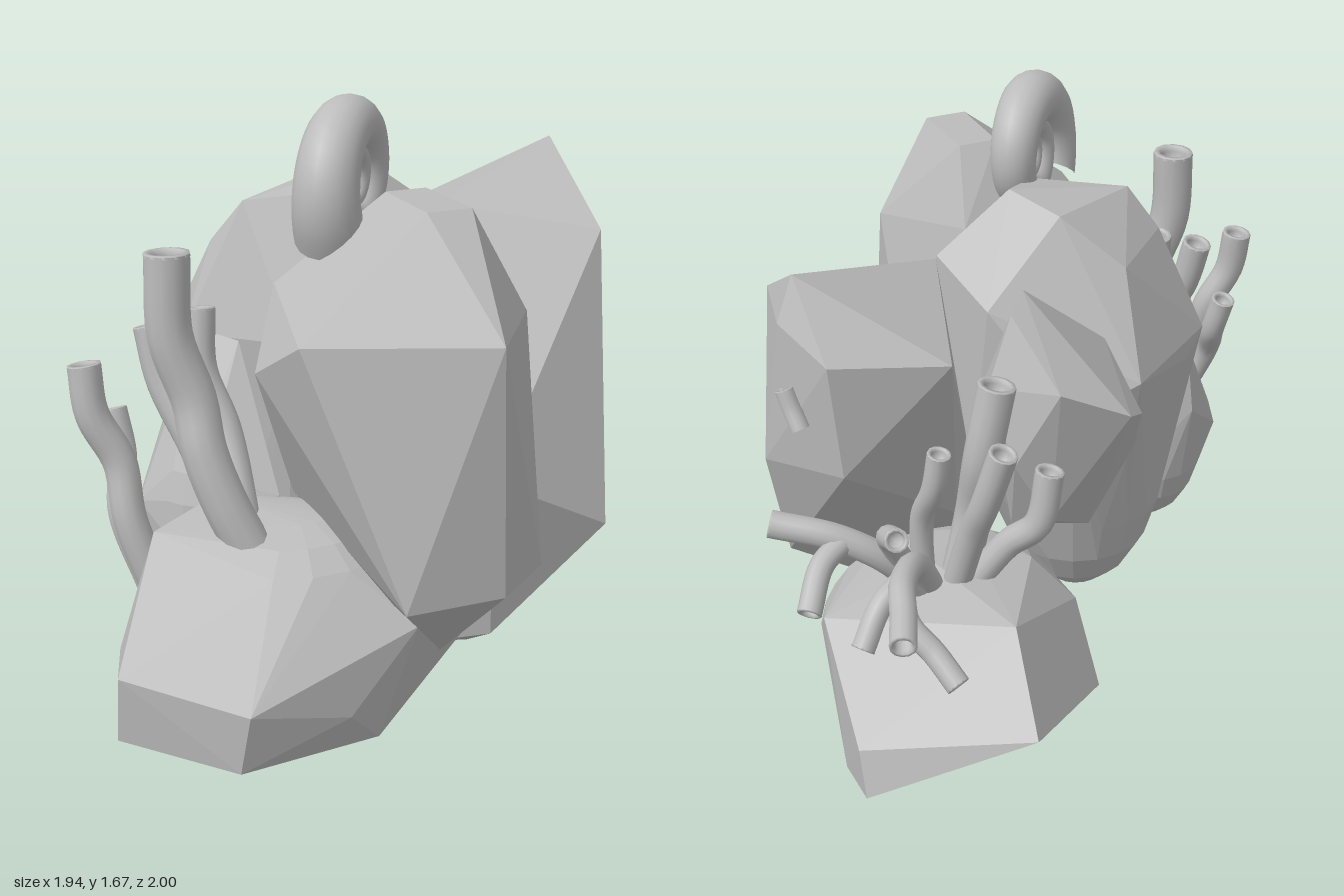
import * as THREE from 'three';
import { ConvexGeometry } from 'three/addons/geometries/ConvexGeometry.js';

const stone = new THREE.MeshStandardMaterial({ color: 0xbcbcbc });
stone.name = 'stone grey';
const V = (p) => new THREE.Vector3(...p);

// Faceted boulder: hull of corner points and an ellipsoid that rounds its buried end
function rock(name, corners, round) {
  const pts = corners.map(V);
  if (round) {
    const [cx, cy, cz, rx, ry, rz] = round;
    for (let i = 0; i <= 10; i++) {
      const t = (i / 10 - 0.5) * Math.PI;
      for (let j = 0; j < 18; j++) {
        const a = (j / 18) * Math.PI * 2;
        pts.push(V([cx + rx * Math.cos(t) * Math.cos(a), cy + ry * Math.sin(t), cz + rz * Math.cos(t) * Math.sin(a)]));
        if (i % 10 === 0) break;
      }
    }
  }
  const mesh = new THREE.Mesh(new ConvexGeometry(pts), stone);
  mesh.name = name;
  return mesh;
}

// Curved coral stem with a hollow cup at its tip
function stem(name, r, path) {
  const g = new THREE.Group();
  g.name = name;
  const curve = new THREE.CatmullRomCurve3(path.map(V));
  g.add(new THREE.Mesh(new THREE.TubeGeometry(curve, 24, r, 12), stone));
  const profile = [[1, -0.1], [0.98, 0.06], [0.74, 0.06], [0.66, -0.2], [0.6, -1], [0, -1]];
  const cup = new THREE.Mesh(
    new THREE.LatheGeometry(profile.map(([x, y]) => new THREE.Vector2(x * r, y * r)), 12), stone);
  cup.position.copy(curve.getPoint(1));
  cup.quaternion.setFromUnitVectors(new THREE.Vector3(0, 1, 0), curve.getTangent(1));
  g.add(cup);
  return g;
}

// Flat spiral shell: circular sections that shrink along a logarithmic spiral
function spiralShell() {
  const u = V([1, 0, -1]).normalize(), up = V([0, 1, 0]), n = V([1, 0, 1]).normalize();
  const rows = 180, cols = 18, turns = 4.6, pos = [], index = [];
  for (let i = 0; i <= rows; i++) {
    const t = (i / rows) * turns, a = Math.PI * 1.2 - t * Math.PI * 2;
    const k = Math.pow(0.54, t), R = 0.192 * k, r = 0.096 * k;
    const out = u.clone().multiplyScalar(Math.cos(a)).addScaledVector(up, Math.sin(a));
    for (let j = 0; j < cols; j++) {
      const f = (j / cols) * Math.PI * 2;
      const p = out.clone().multiplyScalar(R + r * Math.cos(f)).addScaledVector(n, r * Math.sin(f));
      pos.push(p.x, p.y, p.z);
      if (i < rows) {
        const A = i * cols + j, B = i * cols + (j + 1) % cols;
        index.push(A, B, A + cols, B, B + cols, A + cols);
      }
    }
  }
  const geo = new THREE.BufferGeometry();
  geo.setAttribute('position', new THREE.Float32BufferAttribute(pos, 3));
  geo.setIndex(index);
  geo.computeVertexNormals();
  const mesh = new THREE.Mesh(geo, stone);
  mesh.name = 'spiralShell';
  mesh.position.set(-0.135, 1.448, 0.31);
  return mesh;
}

export function createModel() {
  const model = new THREE.Group();
  model.name = 'coralReefRocks';

  // Boulders
  model.add(
    rock('frontCrystal', [
      [-0.12, 1.44, 0.73], [0.01, 1.44, 0.73], [0.02, 1.44, 0.46], [-0.1, 1.44, 0.46],
      [-0.04, 1.15, 1], [-0.5, 1.15, 0.79], [-0.53, 1.03, 0.58], [0.18, 1.15, 0.73],
      [0.22, 0.76, 0.49], [0.2, 0.48, 0.5], [0.17, 0.48, 0.86], [-0.29, 0.47, 0.97],
      [-0.01, 0.47, 0.98], [-0.38, 1.2, 0.36], [0.08, 1.24, 0.3], [-0.33, 0.6, 0.36],
      [0.1, 0.5, 0.3], [-0.04, 0.2, 0.69], [0.12, 0.33, 0.55], [-0.18, 0.36, 0.62]]),
    rock('sideCrystal', [
      [0.78, 1.42, -0.15], [0.86, 1.34, -0.25], [0.9, 0.92, -0.19], [0.72, 1.21, 0.25],
      [0.29, 1.29, 0.04], [0.2, 0.6, 0.55], [0.62, 0.38, 0.49], [0.26, 0.08, 0.45],
      [0.25, 0.01, 0.33], [0.13, 0.03, 0.33], [0.06, 0.09, 0.2], [0.07, 0.3, 0.35],
      [0.43, 0.21, 0.14], [0.5, 0.34, 0], [0.82, 0.56, -0.1], [0.75, 0.92, -0.38],
      [0.78, 1.25, -0.38], [0.45, 1.2, -0.42], [0.35, 0.6, -0.2], [0.28, 0.08, 0.15]]),
    rock('centreRock', [
      [0.04, 1.44, 0.08], [-0.04, 1.4, -0.08], [-0.1, 1.4, 0.22], [-0.36, 1.37, 0.1],
      [-0.43, 1.25, 0.03], [-0.2, 1.25, -0.18], [0.23, 1.2, -0.17], [0.27, 1.28, 0.08],
      [0.28, 1.12, 0.16], [0.22, 1, 0.33], [-0.3, 1, 0.3], [-0.53, 1, 0.06],
      [-0.53, 0.95, -0.08], [-0.43, 0.9, -0.16], [-0.15, 0.98, -0.37], [0.05, 0.9, -0.34],
      [-0.15, 0.7, -0.3], [0.25, 0.7, -0.1]], [-0.16, 0.56, 0.02, 0.27, 0.46, 0.26]),
    rock('backCrystal', [
      [0.2, 1.33, -0.33], [0.27, 1.3, -0.4], [0.23, 1.15, -0.61], [0.03, 1.05, -0.63],
      [-0.05, 1, -0.55], [-0.13, 0.78, -0.37], [-0.08, 1.1, -0.28], [0.24, 1, -0.17],
      [0.34, 1.1, -0.4], [0.31, 0.9, -0.5], [0.2, 0.7, -0.5], [0, 0.55, -0.35], [0.2, 0.55, -0.25]]),
    rock('backBase', [
      [0.49, 0.4, -1], [0.45, 0.61, -0.79], [0.87, 0.17, -0.75], [0.87, 0.3, -0.71],
      [0.83, 0.5, -0.38], [0.5, 0.58, -0.38], [0.22, 0.54, -0.42], [0.12, 0.42, -0.5],
      [0.85, 0.12, -0.55], [0.55, 0.09, -0.1], [0.3, 0.11, -0.12], [0.15, 0.26, -0.7],
      [0.09, 0.17, -0.5]],
      [0.44, 0.33, -0.26, 0.35, 0.23, 0.26]),
    rock('frontBase', [
      [-0.97, 0.33, 0.72], [-0.97, 0.15, 0.7], [-0.7, 0.26, 0.93], [-0.72, 0.1, 0.91],
      [-0.4, 0.17, 0.88], [-0.18, 0.36, 0.83], [-0.86, 0.43, 0.62], [-0.77, 0.59, 0.45],
      [-0.55, 0.63, 0.36], [-0.4, 0.6, 0.5], [-0.89, 0.3, 0.5], [-0.8, 0.11, 0.6],
      [-0.29, 0.06, 0.82], [-0.2, 0.08, 0.68], [0.09, 0.2, 0.6], [0.06, 0.35, 0.6]],
      [-0.38, 0.36, 0.48, 0.38, 0.24, 0.3]),
    rock('smallRock', [
      [-0.5, 1.02, 0.1], [-0.42, 1, 0.2], [-0.5, 0.88, -0.05], [-0.53, 0.8, 0.22],
      [-0.7, 0.55, 0.13], [-0.64, 0.55, 0], [-0.52, 0.65, -0.06], [-0.38, 0.6, 0.38],
      [-0.58, 0.55, 0.3]], [-0.49, 0.48, 0.16, 0.18, 0.3, 0.18]));

  model.add(spiralShell());

  // Tube coral on the front base
  const frontTubes = [
    [0.062, [[-0.52, 0.5, 0.55], [-0.59, 0.66, 0.51], [-0.63, 0.8, 0.47], [-0.64, 0.93, 0.43], [-0.69, 1.1, 0.4], [-0.69, 1.32, 0.39]]],
    [0.046, [[-0.76, 0.42, 0.45], [-0.82, 0.62, 0.41], [-0.83, 0.77, 0.37], [-0.89, 0.9, 0.34], [-0.9, 1.03, 0.32]]],
    [0.038, [[-0.77, 0.42, 0.42], [-0.82, 0.62, 0.34], [-0.78, 0.74, 0.25], [-0.79, 0.86, 0.21]]],
    [0.046, [[-0.52, 0.5, 0.5], [-0.52, 0.8, 0.34], [-0.56, 0.96, 0.27], [-0.55, 1.12, 0.24]]],
    [0.046, [[-0.55, 0.5, 0.48], [-0.6, 0.75, 0.34], [-0.66, 0.93, 0.25], [-0.68, 1.08, 0.21]]]];
  // Tube coral on the back base
  const backTubes = [
    [0.052, [[0.46, 0.5, -0.43], [0.4, 0.75, -0.43], [0.4, 0.95, -0.49], [0.36, 1.16, -0.5]]],
    [0.04, [[0.48, 0.5, -0.45], [0.45, 0.75, -0.53], [0.44, 0.87, -0.59], [0.41, 1.04, -0.64]]],
    [0.04, [[0.45, 0.5, -0.45], [0.34, 0.68, -0.52], [0.28, 0.76, -0.58], [0.25, 0.92, -0.59]]]];
  // Forked coral reaching out from the back base, and a stub on the side crystal
  const branches = [
    [0.036, [[0.52, 0.52, -0.43], [0.62, 0.7, -0.53], [0.71, 0.74, -0.66], [0.75, 0.72, -0.76], [0.79, 0.7, -0.85]]],
    [0.032, [[0.71, 0.74, -0.66], [0.74, 0.7, -0.77], [0.7, 0.64, -0.84], [0.67, 0.58, -0.91]]],
    [0.032, [[0.69, 0.74, -0.63], [0.77, 0.7, -0.66], [0.84, 0.61, -0.7]]],
    [0.038, [[0.54, 0.52, -0.44], [0.68, 0.7, -0.47], [0.8, 0.78, -0.43], [0.95, 0.82, -0.35]]],
    [0.033, [[0.78, 0.77, -0.44], [0.86, 0.74, -0.48], [0.93, 0.66, -0.56]]],
    [0.032, [[0.62, 0.66, -0.47], [0.7, 0.82, -0.55], [0.72, 0.88, -0.66]]],
    [0.032, [[0.56, 0.55, -0.45], [0.57, 0.8, -0.47], [0.56, 0.92, -0.53], [0.55, 1.03, -0.55]]],
    [0.026, [[0.84, 1.06, -0.32], [0.85, 1.11, -0.29], [0.86, 1.16, -0.27]]]];
  const cluster = (name, list) => {
    const g = new THREE.Group();
    g.name = name;
    list.forEach(([r, path], i) => g.add(stem(name + 'Stem' + (i + 1), r, path)));
    model.add(g);
  };
  cluster('frontTubeCoral', frontTubes);
  cluster('backTubeCoral', backTubes);
  cluster('branchCoral', branches);
  return model;
}
